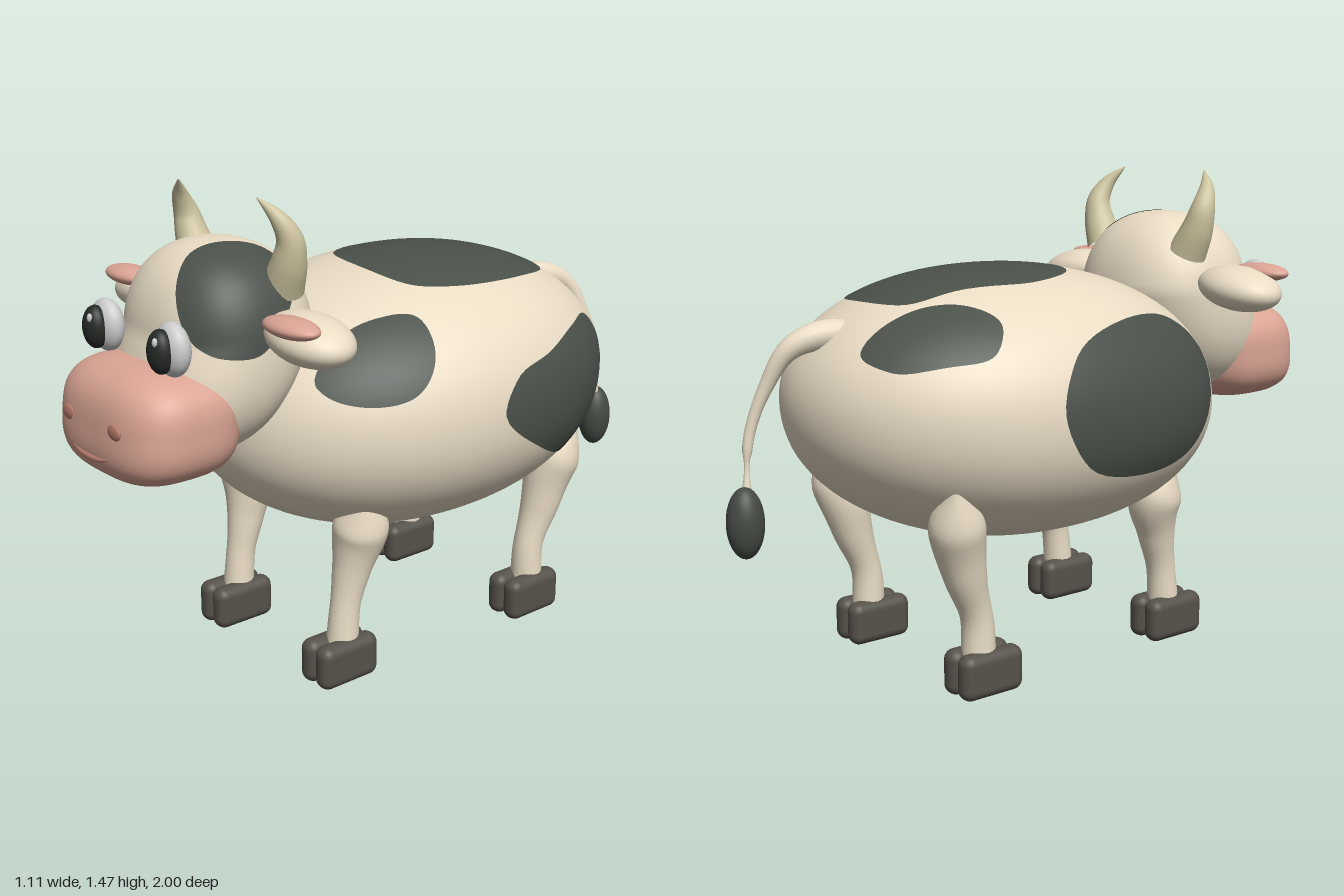
import * as THREE from 'three';
import { mergeVertices } from 'three/addons/utils/BufferGeometryUtils.js';
import { RoundedBoxGeometry } from 'three/addons/geometries/RoundedBoxGeometry.js';

const V = (x, y, z) => new THREE.Vector3(x, y, z);
const mat = (color, side = THREE.FrontSide) => new THREE.MeshStandardMaterial({ color, side });
const cream = mat(0xe9dcc5), pink = mat(0xdba595), hoofMat = mat(0x56524a), hornMat = mat(0xcdc49f);
const white = mat(0xf2f2f2), black = mat(0x252b27), dark = mat(0x444b43), rosy = mat(0xb87c6e);
const patchMat = mat(0x4a5149, THREE.DoubleSide);

// Rounded solids: centre, radii, squareness n, and a forward shift depending on height
const BODY = { c: V(0, 0.8, -0.11), r: V(0.553, 0.41, 0.7), n: 2.12, shift: (y) => -0.1 * y };
const HEAD = { c: V(0, 1.04, 0.565), r: V(0.275, 0.3, 0.245), n: 2.35, shift: (y) => 0.35 * Math.max(0, 0.06 - y) };
const MUZZLE = { c: V(0, 0.875, 0.8), r: V(0.268, 0.165, 0.195), n: 3, shift: (y) => -0.1 * y };

const level = (s, p) =>
  Math.abs(p.x / s.r.x) ** s.n + Math.abs(p.y / s.r.y) ** s.n + Math.abs(p.z / s.r.z) ** s.n;

function smooth(geometry) {
  geometry.deleteAttribute('uv');
  geometry.deleteAttribute('normal');
  const g = mergeVertices(geometry, 1e-5);
  g.computeVertexNormals();
  return g;
}

function solid(s) {
  const g = new THREE.SphereGeometry(1, 72, 48), pos = g.attributes.position, p = V();
  for (let i = 0; i < pos.count; i++) {
    p.fromBufferAttribute(pos, i).multiply(s.r);
    p.multiplyScalar(level(s, p) ** (-1 / s.n));
    p.z += s.shift(p.y);
    pos.setXYZ(i, p.x + s.c.x, p.y + s.c.y, p.z + s.c.z);
  }
  return smooth(g);
}

// Slide a point along an axis until it lies on the surface of a solid
function project(s, start, axis, lift = 1.006) {
  let lo = 0, hi = 1.5;
  const p = V();
  for (let i = 0; i < 26; i++) {
    const t = (lo + hi) / 2;
    p.copy(start).addScaledVector(axis, t).sub(s.c);
    p.z -= s.shift(p.y);
    if (level(s, p) < 1) lo = t; else hi = t;
  }
  return p.copy(start).addScaledVector(axis, lo).sub(s.c).multiplyScalar(lift).add(s.c);
}

// Spot: a smooth closed outline filled with rings and laid onto a solid
function patch(s, axis, place, outline) {
  const curve = new THREE.CatmullRomCurve3(outline.map(([a, b]) => V(a, b, 0)), true);
  const mid = V();
  outline.forEach(([a, b]) => mid.add(V(a, b, 0)));
  mid.divideScalar(outline.length);
  const segs = 56, rings = 14, pts = [], index = [];
  for (let r = 0; r <= rings; r++) {
    for (let i = 0; i < segs; i++) {
      const q = mid.clone().lerp(curve.getPoint(i / segs), r / rings);
      pts.push(...project(s, place(q.x, q.y), axis).toArray());
      const j = (i + 1) % segs, a = r * segs, b = a + segs;
      if (r < rings) index.push(a + i, b + i, b + j, a + i, b + j, a + j);
    }
  }
  const g = new THREE.BufferGeometry();
  g.setAttribute('position', new THREE.Float32BufferAttribute(pts, 3));
  g.setIndex(index);
  // Make the faces look outward
  const e = V().fromArray(pts, 3 * segs * rings), f = V().fromArray(pts, 3 * (segs * rings + 8));
  const m = V().fromArray(pts, 0);
  if (e.sub(m).cross(f.sub(m)).dot(axis) < 0) index.reverse(), g.setIndex(index);
  return smooth(g);
}

// Tube through points with a radius at each point
function taper(points, radii, segs = 28, sides = 20) {
  const curve = new THREE.CatmullRomCurve3(points);
  const width = new THREE.CatmullRomCurve3(radii.map((r) => V(r, 0, 0)));
  const g = new THREE.TubeGeometry(curve, segs, 1, sides), pos = g.attributes.position, p = V();
  for (let i = 0; i < pos.count; i++) {
    const u = Math.floor(i / (sides + 1)) / segs, c = curve.getPointAt(u);
    p.fromBufferAttribute(pos, i).sub(c).multiplyScalar(Math.max(0.002, width.getPoint(u).x)).add(c);
    pos.setXYZ(i, p.x, p.y, p.z);
  }
  return smooth(g);
}

export function createModel() {
  const model = new THREE.Group();
  const add = (name, geometry, material) => {
    const m = new THREE.Mesh(geometry, material);
    m.name = name;
    model.add(m);
    return m;
  };
  const ball = (name, c, r, material) => {
    const m = add(name, new THREE.SphereGeometry(1, 32, 24), material);
    m.position.copy(c);
    m.scale.copy(r);
    return m;
  };

  add('body', solid(BODY), cream);
  add('head', solid(HEAD), cream);
  add('muzzle', solid(MUZZLE), pink);

  // Spots, outlined from above (x, z) or from the side (z, y)
  const up = V(0, 1, 0), left = V(1, 0, 0), right = V(-1, 0, 0);
  const fromTop = (x, z) => V(x, 0.8, z), fromSide = (z, y) => V(0, y, z);
  add('backSpot', patch(BODY, up, fromTop, [[-0.14, -0.55], [0.03, -0.59], [0.2, -0.54], [0.3, -0.32],
    [0.3, -0.08], [0.23, 0.05], [0.03, 0.08], [-0.155, 0.015], [-0.24, -0.18], [-0.19, -0.4]]), patchMat);
  add('rumpSpot', patch(BODY, up, fromTop, [[-0.16, -0.715], [-0.275, -0.685], [-0.37, -0.575],
    [-0.42, -0.45], [-0.365, -0.39], [-0.26, -0.44], [-0.18, -0.555]]), patchMat);
  add('leftFlankSpot', patch(BODY, left, fromSide, [[-0.045, 0.82], [-0.11, 0.92], [-0.26, 0.96], [-0.43, 1.0],
    [-0.565, 1.0], [-0.64, 0.92], [-0.665, 0.73], [-0.59, 0.62], [-0.42, 0.6], [-0.22, 0.68]]), patchMat);
  add('leftShoulderSpot', patch(BODY, left, fromSide, [[0.44, 0.95], [0.345, 1.05], [0.22, 1.1],
    [0.115, 1.1], [0.13, 1.02], [0.22, 0.92], [0.33, 0.895], [0.42, 0.915]]), patchMat);
  add('rightFlankSpot', patch(BODY, right, fromSide, [[-0.3, 0.85], [-0.22, 1.0], [0, 1.07], [0.25, 1.05],
    [0.38, 0.95], [0.37, 0.8], [0.25, 0.67], [0.05, 0.63], [-0.2, 0.68]]), patchMat);
  const k = Math.SQRT1_2;
  add('headSpot', patch(HEAD, V(k, k, 0), (z, v) => V(-k * v, 1.04 + k * v, z), [[0.68, 0.163], [0.58, 0.17],
    [0.48, 0.12], [0.445, 0.02], [0.52, -0.106], [0.62, -0.175], [0.73, -0.14], [0.775, -0.04], [0.755, 0.08]]), patchMat);

  // Mouth
  const ahead = V(0, 0, 1);
  const lip = [-0.09, -0.05, 0, 0.05, 0.09].map((x) => project(MUZZLE, V(x, 0.792 + 1.6 * x * x, 0.8), ahead, 1));
  add('mouth', taper(lip, [0.002, 0.007, 0.009, 0.007, 0.002], 24, 10), rosy);

  // Tail and tuft
  add('tail', taper([V(0.015, 1.02, -0.6), V(0.025, 1.045, -0.7), V(0.06, 1.01, -0.81), V(0.1, 0.9, -0.87),
    V(0.125, 0.76, -0.915), V(0.115, 0.58, -0.935)], [0.045, 0.042, 0.027, 0.018, 0.015, 0.015], 36, 14), cream);
  ball('tailTuft', V(0.108, 0.515, -0.945), V(0.055, 0.105, 0.055), dark);

  for (const s of [1, -1]) {
    const side = s > 0 ? 'left' : 'right';
    const P = (x, y, z) => V(s * x, y, z);

    // Face
    ball(side + 'Eye', P(0.165, 1.1, 0.825), V(0.066, 0.076, 0.042), white);
    ball(side + 'Pupil', P(0.165, 1.1, 0.862), V(0.042, 0.062, 0.036), black);
    ball(side + 'Glint', V(s * 0.165 + 0.015, 1.132, 0.888), V(0.008, 0.013, 0.008), white);
    ball(side + 'Nostril', project(MUZZLE, P(0.118, 0.89, 0.8), ahead, 1), V(0.031, 0.022, 0.008), rosy);

    // Ears
    ball(side + 'Ear', P(0.378, 1.12, 0.53), V(0.148, 0.068, 0.108), cream).rotation.z = s * -0.12;
    ball(side + 'InnerEar', P(0.395, 1.168, 0.605), V(0.105, 0.028, 0.055), pink);

    // Horns
    add(side + 'Horn', taper([P(0.195, 1.22, 0.48), P(0.232, 1.295, 0.485), P(0.248, 1.36, 0.492),
      P(0.235, 1.42, 0.52), P(0.188, 1.475, 0.555)], [0.062, 0.052, 0.039, 0.023, 0.002]), hornMat);

    // Legs
    add(side + 'FrontLeg', taper([P(0.265, 0.1, 0.335), P(0.265, 0.23, 0.322), P(0.268, 0.36, 0.295),
      P(0.28, 0.47, 0.275), P(0.33, 0.6, 0.295)], [0.05, 0.046, 0.06, 0.084, 0.012]), cream);
    add(side + 'BackLeg', taper([P(0.295, 0.1, -0.425), P(0.295, 0.23, -0.43), P(0.3, 0.36, -0.472),
      P(0.31, 0.49, -0.505), P(0.365, 0.65, -0.55)], [0.052, 0.048, 0.065, 0.082, 0.012]), cream);

    // Cloven hooves
    for (const [name, x, z] of [['FrontHoof', 0.265, 0.345], ['BackHoof', 0.297, -0.41]]) {
      for (const t of [-1, 1]) {
        const toe = add(side + name, new RoundedBoxGeometry(0.068, 0.137, 0.212, 5, 0.032), hoofMat);
        toe.position.set(s * x + t * 0.034, 0.0735, z);
      }
    }
  }
  model.position.y = -0.005;
  return model;
}
